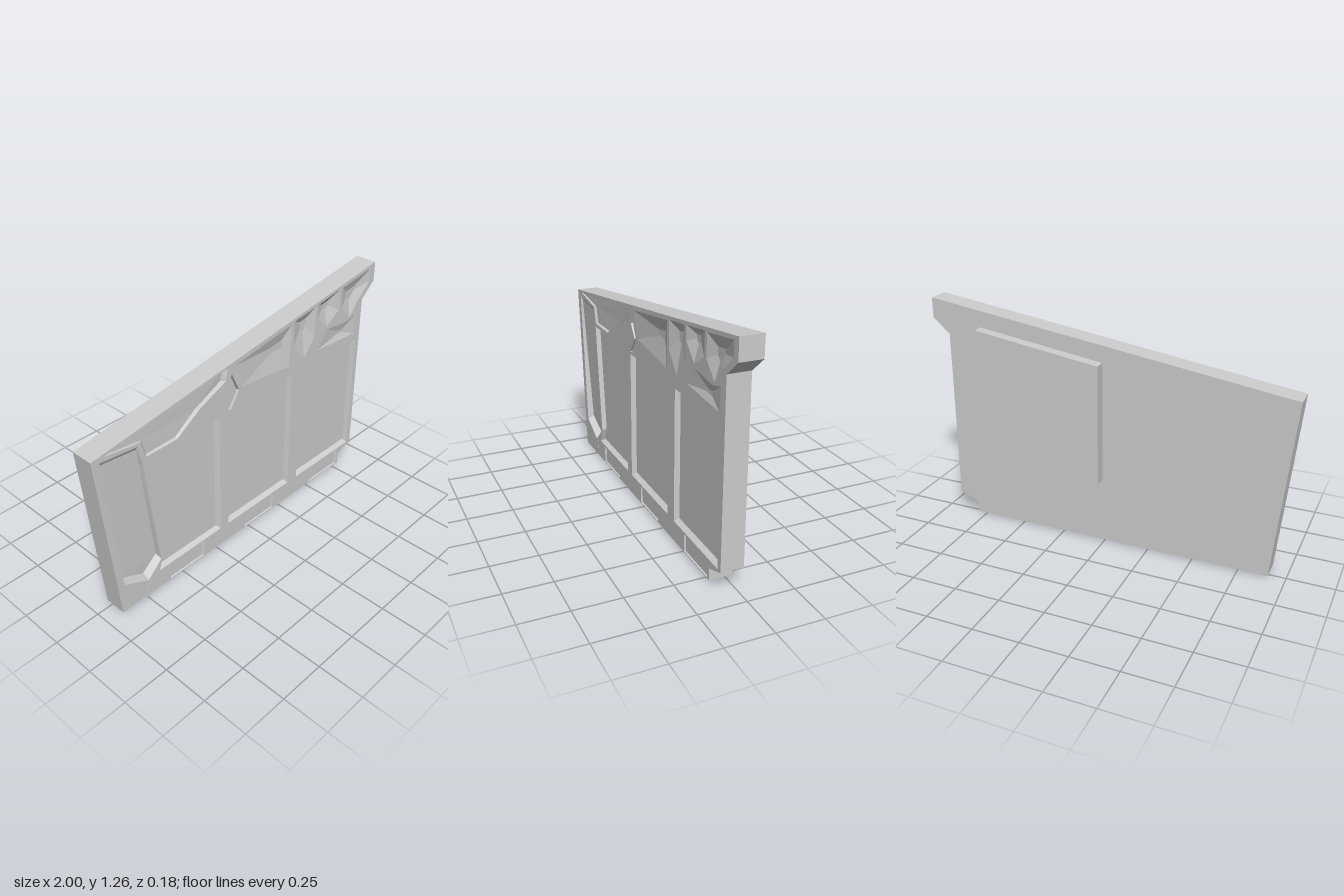
import * as THREE from 'three';

const FRONT = 0.09, BACK = -0.03;
const material = new THREE.MeshStandardMaterial({ color: 0xcccccc });

// Slab silhouette, counter-clockwise from the front
const outline = [[-0.91, 0.01], [0.795, 0.01], [0.795, 0.075], [0.905, 0.115],
  [0.905, 1.07], [1, 1.15], [1, 1.26], [-1, 0.98]];

const rect = (x0, x1, y0, y1) => [[x0, y0], [x1, y0], [x1, y1], [x0, y1]];
const atZ = (ring, z) => ring.map(([x, y]) => [x, y, z]);

// Band of quads between two rings of equal length
function band(a, b) {
  const out = [];
  a.forEach((p, i) => {
    const j = (i + 1) % a.length;
    out.push(p, a[j], b[j], p, b[j], b[i]);
  });
  return out;
}

// Filled face over a ring, with optional holes
function cap(ring, holes = [], flip = false) {
  const v = r => r.map(([x, y]) => new THREE.Vector2(x, y));
  const all = [ring, ...holes].flat();
  const out = [];
  for (const [a, b, c] of THREE.ShapeUtils.triangulateShape(v(ring), holes.map(v))) {
    const [p, q, r] = [all[a], all[b], all[c]];
    const ccw = (q[0] - p[0]) * (r[1] - p[1]) - (q[1] - p[1]) * (r[0] - p[0]) > 0;
    out.push(...(ccw !== flip ? [p, q, r] : [p, r, q]));
  }
  return out;
}

function mesh(name, triangles) {
  const g = new THREE.BufferGeometry();
  g.setAttribute('position', new THREE.Float32BufferAttribute(triangles.flat(), 3));
  g.computeVertexNormals();
  const m = new THREE.Mesh(g, material);
  m.name = name;
  return m;
}

// Closed prism between two depths
function prism(name, ring, z0, z1, holes = []) {
  const a = atZ(ring, z0), b = atZ(ring, z1);
  return mesh(name, [...band(a, b), ...cap(a, [], true),
    ...cap(b, holes.map(h => atZ(h, z1)))]);
}

// Sunken floor: the ring pulled towards a centre by k and lowered by depth
function pit({ name, ring, depth, k = 0.05, centre }) {
  const c = centre || [0, 1].map(i => ring.reduce((s, p) => s + p[i], 0) / ring.length);
  const floor = ring.map(([x, y], i) => [x + (c[0] - x) * k, y + (c[1] - y) * k,
    FRONT - (Array.isArray(depth) ? depth[i] : depth)]);
  return mesh(name, [...band(atZ(ring, FRONT), floor), ...cap(floor)]);
}

const pits = [
  // Three tall recessed panels; the first is cut by the gouge beside it
  { name: 'panelLeftRecess', depth: 0.025,
    ring: [[-0.66, 0.12], [-0.22, 0.12], [-0.22, 0.83], [-0.7, 0.83], [-0.63, 0.2]] },
  { name: 'panelMiddleRecess', depth: 0.025, ring: rect(-0.16, 0.325, 0.12, 0.83) },
  { name: 'panelRightRecess', depth: 0.025, ring: rect(0.4, 0.875, 0.12, 0.83) },
  // Gouges around the upper left corner
  { name: 'sideGouge', depth: [0.035, 0.04, 0.035, 0.018, 0.012, 0.01],
    ring: [[-0.885, 0.18], [-0.735, 0.105], [-0.645, 0.19], [-0.715, 0.82],
      [-0.74, 0.93], [-0.955, 0.955]] },
  { name: 'topGouge', depth: [0.012, 0.015, 0.02, 0.025, 0.02, 0.008, 0.012],
    ring: [[-0.695, 0.85], [-0.5, 0.85], [-0.35, 0.945], [-0.17, 1.02],
      [-0.16, 1.085], [-0.93, 0.975], [-0.72, 0.945]] },
  { name: 'crack', depth: 0.018, k: 0.02,
    ring: [[-0.16, 0.845], [-0.135, 0.845], [-0.08, 0.93], [-0.13, 1.04],
      [-0.15, 1.0], [-0.1, 0.93]] },
  // Faceted dents below the sloping top edge
  { name: 'dent1', depth: 0.018, k: 0.8, centre: [0.24, 1.05],
    ring: [[-0.06, 0.94], [0.3, 0.9], [0.31, 1.14], [-0.11, 1.08]] },
  { name: 'dent2', depth: 0.022, k: 0.75, centre: [0.42, 1.1],
    ring: [[0.33, 1.0], [0.42, 0.9], [0.5, 1.0], [0.5, 1.17], [0.33, 1.15]] },
  { name: 'dent3', depth: 0.022, k: 0.75, centre: [0.6, 1.14],
    ring: [[0.52, 1.1], [0.6, 1.02], [0.7, 1.08], [0.7, 1.2], [0.52, 1.175]] },
  { name: 'dent4', depth: 0.022, k: 0.7, centre: [0.81, 1.13],
    ring: [[0.72, 1.08], [0.8, 1.0], [0.87, 1.08], [0.96, 1.16], [0.96, 1.235], [0.72, 1.2]] },
  { name: 'dent5', depth: 0.012, k: 0.8, centre: [0.74, 0.93],
    ring: [[0.53, 0.9], [0.85, 0.88], [0.86, 1.0], [0.78, 0.98], [0.6, 1.0]] },
];
// Shallow gaps between the tabs of the bottom strip
[[-0.59, -0.35], [-0.03, 0.2], [0.52, 0.775]].forEach(([x0, x1], i) =>
  pits.push({ name: 'stripGap' + (i + 1), depth: 0.008, ring: rect(x0, x1, 0.015, 0.11) }));

export function createModel() {
  const group = new THREE.Group();
  group.name = 'wallPanel';
  group.add(prism('slab', outline, BACK, FRONT, pits.map(p => p.ring)));
  for (const p of pits) group.add(pit(p));

  // Thick plate on the back, its top parallel to the slab's
  group.add(prism('backPlate',
    [[0.01, 0.37], [0.71, 0.37], [0.71, 1.13], [0.01, 1.03]], -0.09, BACK));

  // Chip hanging off the lower edge
  group.add(prism('brokenChip',
    [[-0.76, 0], [-0.735, 0.012], [-0.71, 0.05], [-0.715, 0.1], [-0.745, 0.05]], 0.06, 0.092));
  return group;
}
